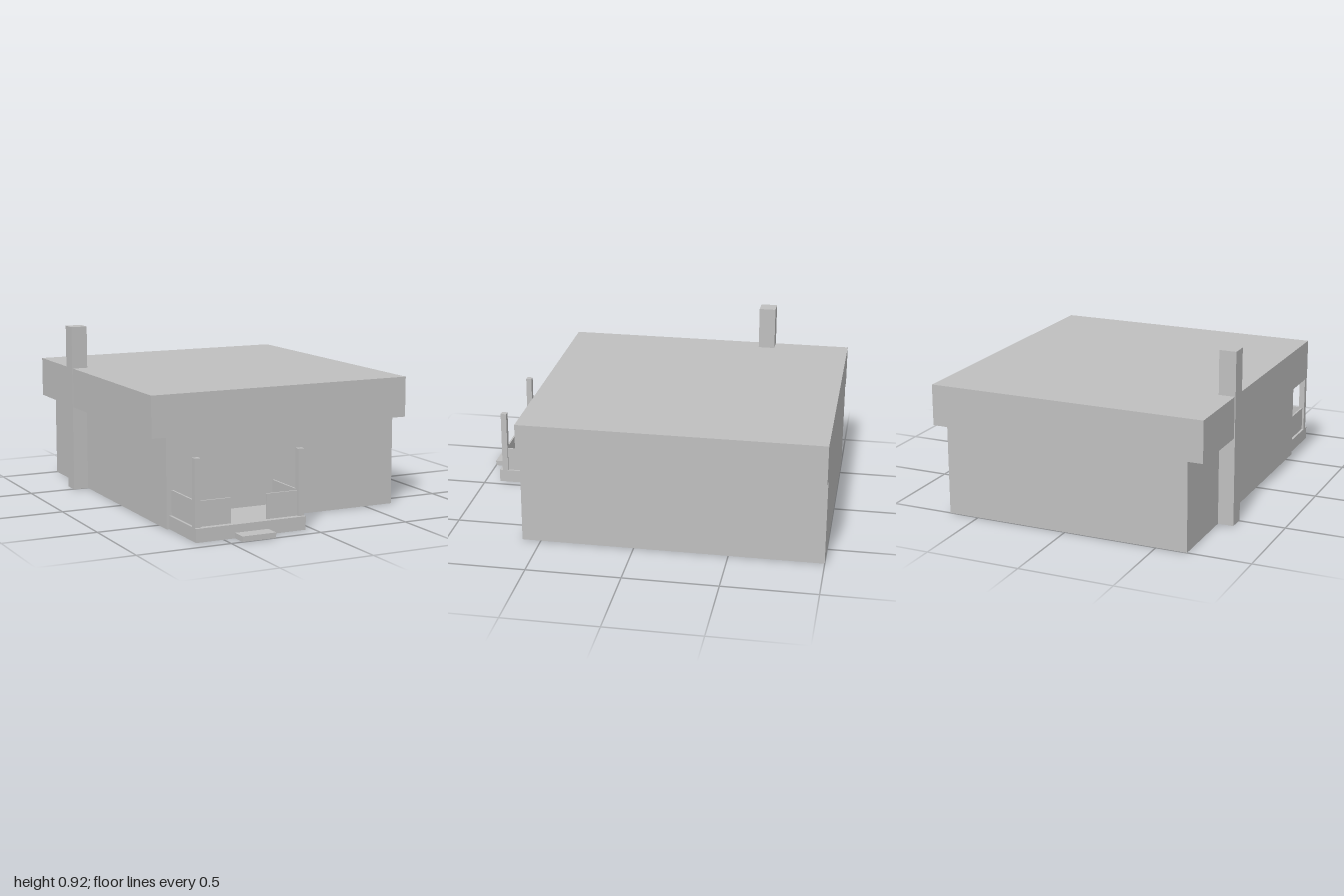
import * as THREE from 'three';

const wallGrey = new THREE.MeshStandardMaterial({ color: 0xbfbfbf });
wallGrey.name = 'plain grey';

// Box given by its minimum and maximum corners
function block(name, [x0, y0, z0], [x1, y1, z1]) {
  const mesh = new THREE.Mesh(new THREE.BoxGeometry(x1 - x0, y1 - y0, z1 - z0), wallGrey);
  mesh.position.set((x0 + x1) / 2, (y0 + y1) / 2, (z0 + z1) / 2);
  mesh.name = name;
  return mesh;
}

function createPorch() {
  const porch = new THREE.Group();
  porch.name = 'porch';
  porch.position.x = -0.345;

  // Deck and the step in front of it
  porch.add(block('deck', [-0.305, 0, 0.6], [0.305, 0.07, 0.917]));
  porch.add(block('step', [-0.0925, 0, 0.917], [0.0925, 0.028, 1]));

  // Mirrored posts and low railing panels, open in the middle
  for (const side of [-1, 1]) {
    const mirrored = (name, inner, outer, y, z) => {
      const xs = [side * inner, side * outer].sort((a, b) => a - b);
      porch.add(block(name, [xs[0], y[0], z[0]], [xs[1], y[1], z[1]]));
    };
    mirrored('post', 0.271, 0.303, [0.07, 0.415], [0.868, 0.9]);
    mirrored('frontRailing', 0.099, 0.271, [0.07, 0.2], [0.876, 0.886]);
    mirrored('sideRailing', 0.282, 0.292, [0.07, 0.2], [0.602, 0.868]);
  }
  return porch;
}

export function createModel() {
  const house = new THREE.Group();
  house.name = 'house';
  house.add(block('walls', [-0.665, 0, -1], [0.665, 0.47, 0.6]));
  house.add(block('flatRoof', [-0.744, 0.47, -1], [0.746, 0.688, 0.6]));
  house.add(block('chimney', [-0.749, 0, -0.581], [-0.659, 0.92, -0.49]));
  house.add(createPorch());
  return house;
}
